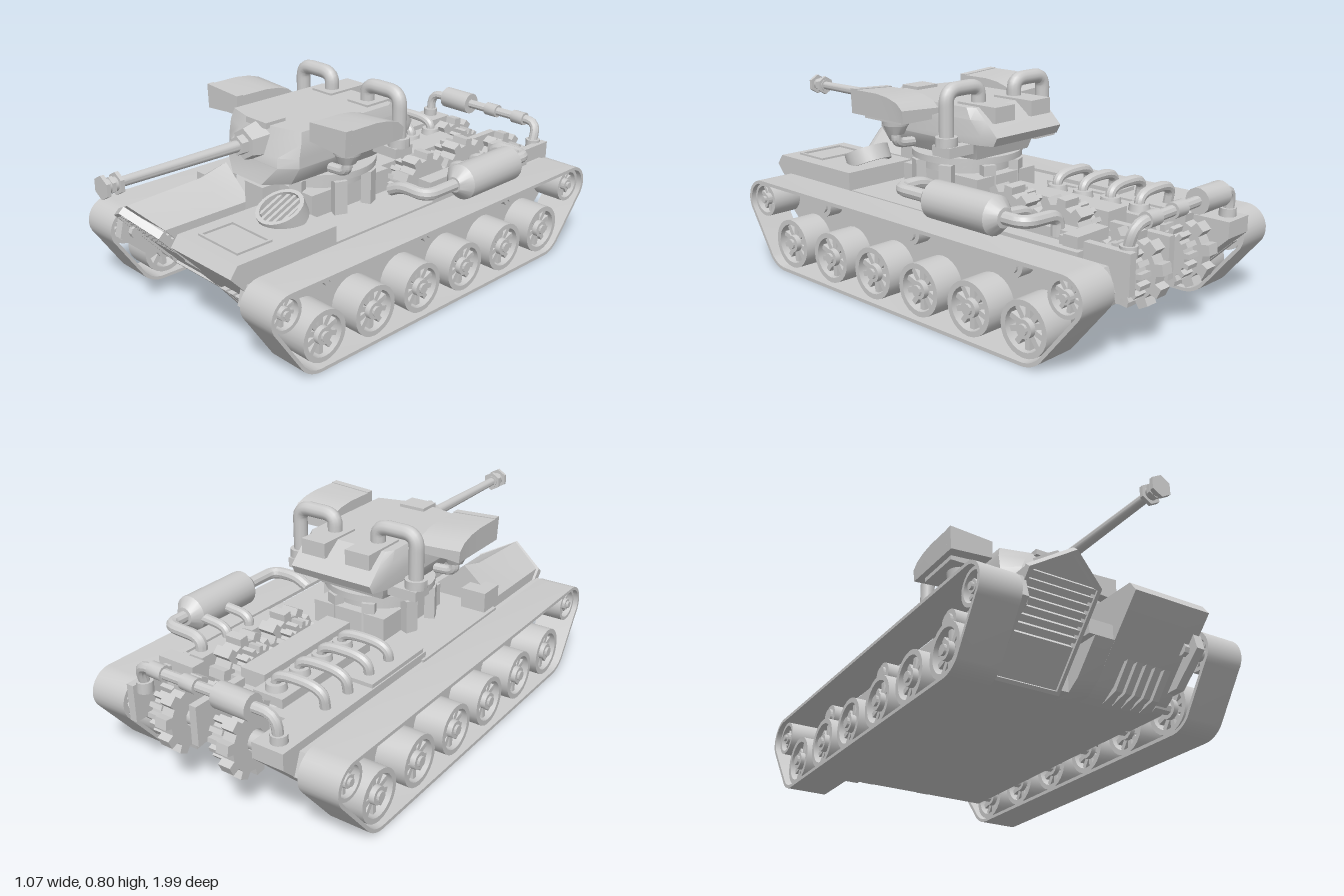
import * as THREE from 'three';
import { toCreasedNormals } from 'three/addons/utils/BufferGeometryUtils.js';

const mat = new THREE.MeshStandardMaterial({ color: 0xcccccc });
const V = (x, y, z) => new THREE.Vector3(x, y, z);

export function createModel() {
  const root = new THREE.Group();
  let target = root;
  const add = (name, geo, x = 0, y = 0, z = 0) => {
    const m = new THREE.Mesh(toCreasedNormals(geo, 0.6), mat);
    m.name = name;
    m.position.set(x, y, z);
    target.add(m);
    return m;
  };
  const group = (name, build, parent = root) => {
    const g = new THREE.Group(), old = target;
    g.name = name;
    parent.add(g);
    target = g;
    build(g);
    target = old;
    return g;
  };
  // box given by its limits on each axis
  const box = (name, x0, x1, y0, y1, z0, z1) =>
    add(name, new THREE.BoxGeometry(x1 - x0, y1 - y0, z1 - z0), (x0 + x1) / 2, (y0 + y1) / 2, (z0 + z1) / 2);
  const cyl = (name, axis, r0, r1, len, x, y, z, n = 20) => {
    const g = new THREE.CylinderGeometry(r1, r0, len, n);
    if (axis === 'x') g.rotateZ(-Math.PI / 2);
    if (axis === 'z') g.rotateX(Math.PI / 2);
    return add(name, g, x, y, z);
  };
  const shapeOf = (pts, hole) => {
    const s = new THREE.Shape(pts.map(p => new THREE.Vector2(...p)));
    if (hole) s.holes.push(new THREE.Path(hole.map(p => new THREE.Vector2(...p))));
    return s;
  };
  // side profile of [z, y] points, drawn out from x0 to x1
  const side = (name, pts, x0, x1, hole) => {
    const g = new THREE.ExtrudeGeometry(shapeOf(pts, hole), { depth: x1 - x0, bevelEnabled: false });
    g.rotateY(-Math.PI / 2);
    g.translate(x1, 0, 0);
    return add(name, g);
  };
  // skin over convex rings of points, with flat end caps
  const loft = (name, rings) => {
    const t = [], n = rings[0].length, last = rings.length - 1;
    const tri = (...p) => p.forEach(v => t.push(v.x, v.y, v.z));
    for (let k = 0; k < last; k++) for (let i = 0; i < n; i++) {
      const j = (i + 1) % n, A = rings[k], B = rings[k + 1];
      tri(A[i], A[j], B[j]);
      tri(A[i], B[j], B[i]);
    }
    for (let i = 1; i < n - 1; i++) {
      tri(rings[0][0], rings[0][i + 1], rings[0][i]);
      tri(rings[last][0], rings[last][i], rings[last][i + 1]);
    }
    const g = new THREE.BufferGeometry();
    g.setAttribute('position', new THREE.Float32BufferAttribute(t, 3));
    return add(name, g);
  };
  // tube along straight runs with rounded corners
  const pipe = (name, r, pts, bend = 0.05, n = 10) => {
    const p = pts.map(a => V(...a)), path = new THREE.CurvePath();
    let from = p[0];
    for (let i = 1; i < p.length; i++) {
      if (i === p.length - 1) { path.add(new THREE.LineCurve3(from, p[i])); break; }
      const toward = q => p[i].clone().add(q.clone().sub(p[i]).setLength(Math.min(bend, q.distanceTo(p[i]) * 0.45)));
      const a = toward(p[i - 1]), b = toward(p[i + 1]);
      path.add(new THREE.LineCurve3(from, a));
      path.add(new THREE.QuadraticBezierCurve3(a, p[i], b));
      from = b;
    }
    return add(name, new THREE.TubeGeometry(path, 40, r, n));
  };
  const circle = (r, n = 20, cz = 0, cy = 0) => Array.from({ length: n }, (_, i) =>
    [cz + r * Math.cos(i / n * 2 * Math.PI), cy + r * Math.sin(i / n * 2 * Math.PI)]);

  // spoked wheel on an x axle
  const wheel = (name, x, y, z, r, parent) => group(name, g => {
    g.position.set(x, y, z);
    side('rim', circle(r, 24), -0.06, 0.06, circle(r * 0.8, 24));
    cyl('hub', 'x', r * 0.4, r * 0.34, 0.12, 0, 0, 0, 16);
    cyl('hubCap', 'x', r * 0.2, r * 0.2, 0.14, 0, 0, 0, 12);
    cyl('axle', 'x', 0.025, 0.025, 0.1, -0.08, 0, 0, 8);
    for (let i = 0; i < 10; i++) {
      const s = add('spoke', new THREE.BoxGeometry(0.08, r * 0.58, r * 0.2).translate(0, r * 0.58, 0));
      s.rotation.x = i * Math.PI / 5;
    }
  }, parent);

  // belt outline around the idler, sprocket and end road wheels
  const belt = inset => {
    const pts = [];
    [[0.675, 0.262, 0.083, -42, 90], [-0.87, 0.262, 0.083, 90, 224],
      [-0.71, 0.115, 0.115, 224, 270], [0.54, 0.115, 0.115, 270, 318]].forEach(([z, y, r, a, b]) => {
      for (let i = 0; i <= 10; i++) {
        const t = (a + (b - a) * i / 10) * Math.PI / 180;
        pts.push([z + (r - inset) * Math.cos(t), y + (r - inset) * Math.sin(t)]);
      }
    });
    return pts;
  };
  [1, -1].forEach(s => group(s > 0 ? 'leftTrack' : 'rightTrack', g => {
    g.rotation.y = 0;
    side('belt', belt(0), s > 0 ? 0.38 : -0.535, s > 0 ? 0.535 : -0.38, belt(0.013));
    side('sideFrame', [[0.72, 0.33], [-0.9, 0.33], [-0.93, 0.25], [-0.82, 0.14], [0.62, 0.14], [0.74, 0.25]],
      s > 0 ? 0.345 : -0.38, s > 0 ? 0.38 : -0.345);
    for (let i = 0; i < 6; i++) wheel('roadWheel', 0, 0.115, 0.51 - i * 0.243, 0.097, g);
    wheel('idler', 0, 0.264, 0.68, 0.068, g);
    wheel('sprocket', 0, 0.264, -0.868, 0.068, g);
    g.children.filter(c => c.isGroup).forEach(w => {
      w.position.x = s * 0.455;
      w.rotation.y = s > 0 ? 0 : Math.PI;
    });
    [0.4, -0.1, -0.585].forEach(z => {
      cyl('returnRoller', 'x', 0.048, 0.048, 0.06, s * 0.41, 0.282, z);
      cyl('rollerHub', 'x', 0.03, 0.03, 0.08, s * 0.41, 0.282, z);
    });
  }));

  // lower hull and engine bay
  group('hull', () => {
    side('belly', [[0.45, 0.085], [0.45, 0.22], [-0.78, 0.22], [-0.74, 0.085]], -0.36, 0.36);
    box('crossFrame', -0.36, 0.36, 0.2, 0.34, -0.2, 0.34);
    box('turretBase', -0.16, 0.16, 0.34, 0.43, -0.16, 0.24);
    side('rearSideBlock', [[-0.17, 0.1], [-0.17, 0.36], [-0.98, 0.36], [-0.98, 0.3], [-0.76, 0.085]], -0.35, -0.225);
    box('sideStep', -0.345, -0.25, 0.36, 0.375, -0.5, -0.18);
    box('engineBlock', -0.22, 0.08, 0.2, 0.34, -0.79, -0.2);
    box('engineHead', -0.16, -0.035, 0.34, 0.375, -0.75, -0.25);
    box('engineRidge', -0.035, 0.07, 0.34, 0.4, -0.69, -0.2);
    box('rightBlock', 0.24, 0.36, 0.2, 0.35, -0.79, -0.2);
    box('rightBlockCap', 0.24, 0.3, 0.35, 0.385, -0.7, -0.25);
    box('gearBracket', 0.045, 0.075, 0.22, 0.37, -0.94, -0.7);
    box('gearBracket', 0.3, 0.33, 0.24, 0.38, -0.97, -0.69);
    box('rearLedge', 0.2, 0.36, 0.36, 0.4, -0.79, -0.73);
    box('frontSpine', -0.05, 0.05, 0.29, 0.47, 0.3, 0.38);
    box('frontDrive', -0.055, 0.045, 0.235, 0.29, 0.34, 0.66);
    box('frontSill', -0.375, -0.03, 0.085, 0.16, 0.3, 0.5);
    box('rightStowage', -0.345, -0.24, 0.34, 0.42, 0.27, 0.38);
  });

  // flat front housing with its hatch panel, lower ribs and round vent
  group('frontHousing', () => {
    side('housing', [[0.32, 0.085], [0.5, 0.085], [0.555, 0.12], [0.785, 0.37], [0.755, 0.41], [0.32, 0.41]], 0.05, 0.372);
    side('lowerStep', [[0.32, 0.085], [0.5, 0.085], [0.555, 0.12], [0.66, 0.235], [0.32, 0.235]], -0.03, 0.05);
    const z0 = 0.56, z1 = 0.71;
    [[0.105, 0.115, z0, z1], [0.305, 0.315, z0, z1], [0.115, 0.305, z0, z0 + 0.01], [0.115, 0.305, z1 - 0.01, z1]]
      .forEach(([a, b, c, d]) => box('panelRim', a, b, 0.4, 0.418, c, d));
    for (let i = 0; i < 5; i++)
      side('rib', [[0.49, 0.08], [0.565, 0.1], [0.64, 0.19], [0.55, 0.19]], 0.12 + i * 0.04, 0.148 + i * 0.04);
    group('roundVent', v => {
      v.position.set(0.197, 0.445, 0.42);
      v.rotation.x = 0.42;
      add('ventRing', new THREE.LatheGeometry([[0.075, -0.045], [0.09, -0.045], [0.09, 0.015], [0.075, 0.015], [0.075, -0.045]]
        .map(p => new THREE.Vector2(...p)), 24));
      cyl('ventFloor', 'y', 0.076, 0.076, 0.01, 0, -0.03, 0);
      for (let i = -2; i <= 2; i++) {
        const h = Math.sqrt(0.0058 - (i * 0.027) ** 2);
        box('ventBar', i * 0.027 - 0.006, i * 0.027 + 0.006, -0.02, 0.006, -h, h);
      }
    }, target);
  });

  // pointed hood with a slanted, slatted grille
  group('radiatorHood', () => {
    const ring = zAt => [[-0.345, 0.085], [-0.075, 0.085], [-0.075, 0.37], [-0.21, 0.44], [-0.345, 0.37]]
      .map(([x, y]) => V(x, y, zAt(y)));
    const rear = ring(() => 0.34), mid = ring(() => 0.46);
    rear[3].y = 0.485;
    mid[3].y = 0.455;
    loft('hood', [rear, mid, ring(y => 0.785 - (0.44 - y) * 0.9)]);
    group('grille', g => {
      g.position.set(-0.21, 0.083, 0.475);
      g.rotation.x = 0.733;
      const outline = (w, b, s, t) => [[-w, b], [w, b], [w, s], [0, t], [-w, s]];
      add('grilleFrame', new THREE.ExtrudeGeometry(shapeOf(outline(0.142, 0, 0.385, 0.482), outline(0.128, 0.014, 0.376, 0.464)),
        { depth: 0.03, bevelEnabled: false }));
      box('lowerShield', -0.128, 0.128, 0.014, 0.17, -0.01, 0.02);
      for (let i = 0; i < 7; i++) box('slat', -0.128, 0.128, 0.185 + i * 0.029, 0.202 + i * 0.029, -0.01, 0.022);
    }, target);
  });

  // toothed gears on x axles
  const gear = (x, y, z, r, w, teeth) => {
    const pts = [];
    for (let i = 0; i < teeth; i++) [[0, 0.8], [0.4, 0.8], [0.48, 1], [0.92, 1]].forEach(([f, k]) => {
      const a = (i + f) / teeth * 2 * Math.PI;
      pts.push([r * k * Math.cos(a), r * k * Math.sin(a)]);
    });
    side('gear', pts, -w / 2, w / 2, circle(r * 0.3, 14)).position.set(x, y, z);
  };
  group('gearTrain', () => {
    [-0.08, 0.19].forEach(x => {
      gear(x - 0.03, 0.27, -0.86, 0.135, 0.05, 10);
      gear(x + 0.035, 0.27, -0.86, 0.1, 0.055, 16);
      cyl('gearShaft', 'x', 0.035, 0.035, 0.2, x, 0.27, -0.86, 12);
    });
    [-0.58, -0.34].forEach(z => {
      gear(0.17, 0.325, z, 0.13, 0.07, 10);
      gear(0.105, 0.325, z, 0.1, 0.05, 16);
      cyl('gearShaft', 'x', 0.035, 0.035, 0.18, 0.16, 0.325, z, 12);
    });
  });

  // exhausts
  group('exhausts', () => {
    [-0.7, -0.575, -0.45, -0.33].forEach(z => {
      pipe('manifoldPipe', 0.019, [[-0.095, 0.36, z], [-0.095, 0.435, z], [-0.29, 0.435, z], [-0.29, 0.34, z + 0.015]], 0.09);
      cyl('manifoldFlange', 'y', 0.04, 0.035, 0.03, -0.095, 0.385, z);
    });
    add('muffler', new THREE.LatheGeometry([[0, -0.18], [0.035, -0.175], [0.068, -0.14], [0.068, 0.145], [0.03, 0.185], [0, 0.185]]
      .map(p => new THREE.Vector2(...p)), 20).rotateX(Math.PI / 2), 0.452, 0.436, -0.39);
    pipe('mufflerFrontPipe', 0.023, [[0.28, 0.41, -0.05], [0.34, 0.44, -0.05], [0.452, 0.436, -0.05], [0.452, 0.436, -0.23]]);
    pipe('mufflerRearPipe', 0.023, [[0.452, 0.436, -0.55], [0.452, 0.436, -0.65], [0.29, 0.43, -0.65], [0.29, 0.36, -0.65]]);
    [-0.52, -0.4].forEach(z => pipe('mufflerInlet', 0.019, [[0.285, 0.36, z], [0.285, 0.42, z], [0.42, 0.43, z]]));
    pipe('rearPipe', 0.019, [[-0.295, 0.34, -0.93], [-0.295, 0.46, -0.94], [0.285, 0.46, -0.95], [0.285, 0.35, -0.92]]);
    cyl('rearMuffler', 'x', 0.046, 0.046, 0.14, -0.14, 0.46, -0.945, 14);
    [0.05, 0.195].forEach(x => cyl('pipeCollar', 'x', 0.028, 0.028, 0.06, x, 0.46, -0.947, 12));
    [-0.295, 0.285].forEach(x => cyl('pipeFoot', 'y', 0.03, 0.03, 0.04, x, 0.37, -0.93, 12));
  });

  // turret ring on posts
  group('turretRing', () => {
    cyl('ring', 'y', 0.215, 0.215, 0.025, 0, 0.487, 0.05, 32);
    cyl('ringBase', 'y', 0.18, 0.18, 0.04, 0, 0.455, 0.05, 32);
    for (let i = 0; i < 8; i++) {
      const a = (i + 0.5) * Math.PI / 4;
      add('post', new THREE.BoxGeometry(0.05, 0.14, 0.04), 0.2 * Math.sin(a), 0.4, 0.05 + 0.2 * Math.cos(a)).rotation.y = a;
    }
  });

  // turret
  group('turret', g => {
    // each level: y, nose half-width, nose z, half-width, side front z, side rear z, rear half-width, rear z
    loft('turretShell', [
      [0.5, 0.08, 0.41, 0.15, 0.33, -0.08, 0.14, -0.14], [0.57, 0.14, 0.385, 0.195, 0.33, -0.1, 0.16, -0.16],
      [0.572, 0.14, 0.385, 0.195, 0.33, -0.2, 0.175, -0.255], [0.605, 0.13, 0.375, 0.195, 0.33, -0.21, 0.175, -0.272],
      [0.66, 0.1, 0.355, 0.195, 0.32, -0.16, 0.175, -0.215], [0.7, 0.07, 0.34, 0.185, 0.31, -0.13, 0.165, -0.16],
    ].map(([y, nw, nz, w, fz, rz, bw, bz]) => {
      const half = [[nw, nz], [w, fz], [w, rz], [bw, bz]];
      return [...half.map(([x, z]) => V(x, y, z)), ...half.reverse().map(([x, z]) => V(-x, y, z))];
    }));
    box('mantletVisor', -0.055, 0.055, 0.69, 0.712, 0.27, 0.36);
    cyl('mantlet', 'z', 0.075, 0.058, 0.07, 0, 0.635, 0.385, 6);
    cyl('mantletCollar', 'z', 0.04, 0.036, 0.06, 0, 0.635, 0.42, 6);
    cyl('barrel', 'z', 0.022, 0.017, 0.54, 0, 0.635, 0.68, 14);
    cyl('muzzle', 'z', 0.025, 0.025, 0.06, 0, 0.635, 0.96, 12);
    [[0.94, 0.04], [0.965, 0.03], [0.993, 0.042]].forEach(([z, r]) => cyl('muzzleDisc', 'z', r, r, 0.014, 0, 0.635, z, 6));
    [1, -1].forEach(s => group(s > 0 ? 'leftTurretSide' : 'rightTurretSide', () => {
      const span = (a, b) => s > 0 ? [a, b] : [-b, -a];
      box('roofPanel', ...span(0.045, 0.15), 0.65, 0.708, -0.24, -0.05);
      // flared intake cover with a rounded back
      const plate = (z, k) => {
        const p = [[0.2, 0.665], [0.375, 0.65], [0.38, 0.745 - k], [0.2, 0.735 - k]].map(([x, y]) => V(s * x, y, z));
        return s > 0 ? p : p.reverse();
      };
      loft('intakePlate', [plate(0.255, 0), plate(0.285, 0)]);
      loft('intakeCover', [plate(0, 0.05), plate(0.03, 0.025), plate(0.08, 0.01), plate(0.14, 0.003), plate(0.255, 0.003)]);
      box('coverBracket', ...span(0.18, 0.35), 0.635, 0.66, 0.04, 0.24);
      cyl('filterTop', 'y', 0.05, 0.055, 0.03, s * 0.265, 0.622, 0.165);
      cyl('filterBowl', 'y', 0.032, 0.048, 0.035, s * 0.265, 0.59, 0.165);
      pipe('filterPipe', 0.019, [[s * 0.265, 0.59, 0.165], [s * 0.265, 0.535, 0.165], [s * 0.18, 0.53, 0.165]], 0.04);
      // roof breather
      pipe('breatherPipe', 0.028, [[s * 0.262, 0.58, -0.105], [s * 0.262, 0.768, -0.105], [s * 0.097, 0.768, -0.105],
        [s * 0.097, 0.69, -0.105]], 0.05, 12);
      cyl('breatherCollar', 'y', 0.042, 0.042, 0.035, s * 0.262, 0.583, -0.105, 14);
      box('breatherBracket', ...span(0.17, 0.29), 0.53, 0.568, -0.15, -0.06);
    }, g));
  });
  return root;
}
